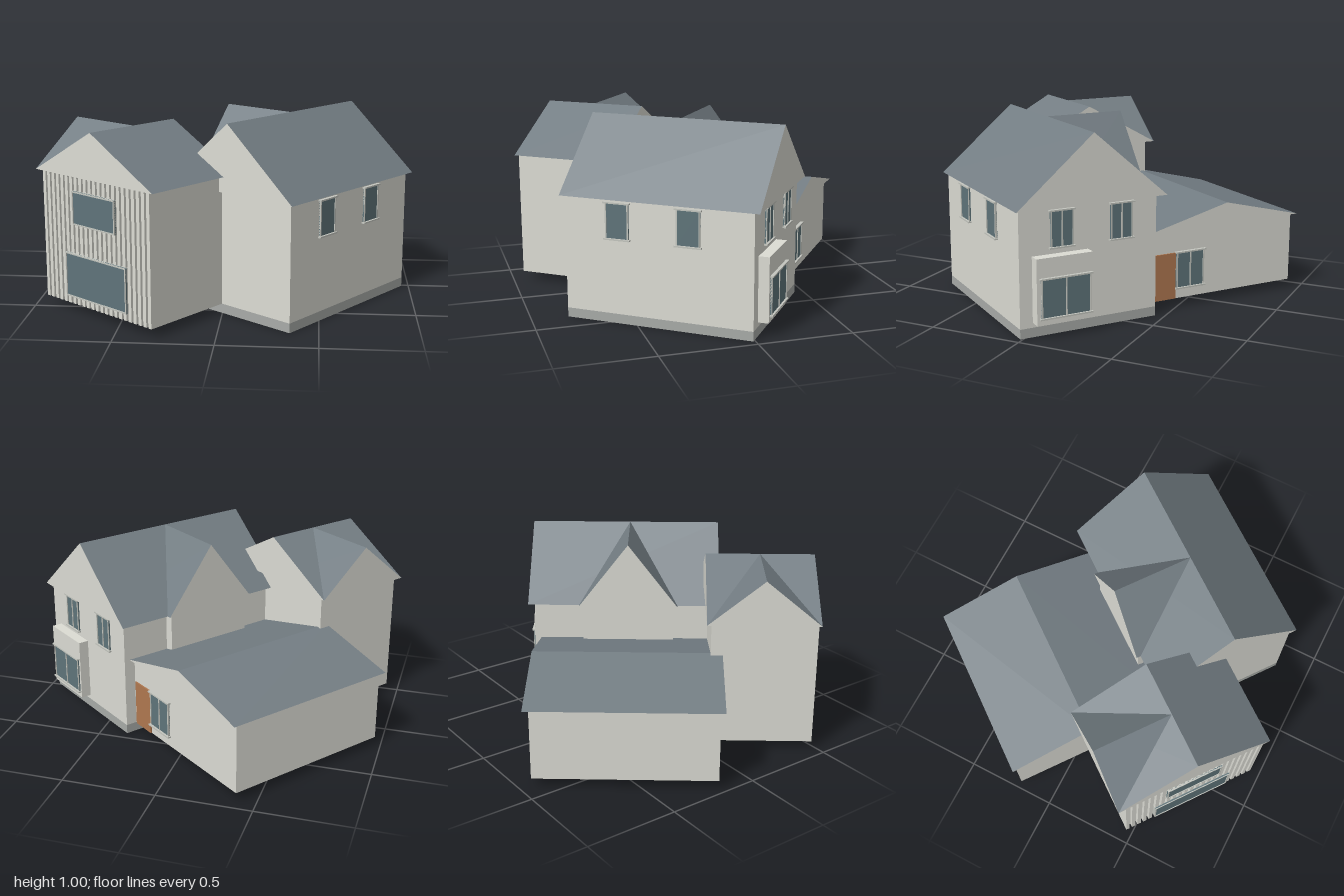
import * as THREE from 'three';

const paint = (color) => new THREE.MeshStandardMaterial({ color, flatShading: true });

export function createModel() {
  const wallMat = paint(0xdcdcd4), roofMat = paint(0x737d83), glassMat = paint(0x5f747a);
  const doorMat = paint(0xb07850), plinthMat = paint(0xa8aba8), trimMat = paint(0xc4c6bf);

  const model = new THREE.Group();
  model.name = 'house';
  // the whole plan is turned about the vertical axis
  const plan = new THREE.Group();
  plan.name = 'plan';
  plan.rotation.y = -0.649;
  model.add(plan);

  // box given by its limits on each axis
  function box(name, mat, x0, x1, y0, y1, z0, z1, parent = plan) {
    const m = new THREE.Mesh(new THREE.BoxGeometry(x1 - x0, y1 - y0, z1 - z0), mat);
    m.position.set((x0 + x1) / 2, (y0 + y1) / 2, (z0 + z1) / 2);
    m.name = name;
    parent.add(m);
    return m;
  }

  // solid gable roof; the ridge runs along z, or along x when alongX is set
  function gableRoof(name, x0, x1, z0, z1, eave, ridge, alongX = false) {
    const half = (alongX ? z1 - z0 : x1 - x0) / 2;
    const length = alongX ? x1 - x0 : z1 - z0;
    const tri = new THREE.Shape([
      new THREE.Vector2(-half, 0), new THREE.Vector2(half, 0), new THREE.Vector2(0, ridge - eave)]);
    const g = new THREE.ExtrudeGeometry(tri, { depth: length, bevelEnabled: false });
    g.translate(0, 0, -length / 2);
    if (alongX) g.rotateY(Math.PI / 2);
    const m = new THREE.Mesh(g, [wallMat, roofMat]);
    m.position.set((x0 + x1) / 2, eave, (z0 + z1) / 2);
    m.name = name;
    plan.add(m);
  }

  // window facing +z before turning: frame bars, panes, head and sill
  function windowUnit(name, x, y, z, w, h, turn, panes, ledges = true) {
    const g = new THREE.Group();
    g.name = name;
    const t = 0.007, d = 0.008;
    box('glass', glassMat, -w / 2, w / 2, -h / 2, h / 2, -0.004, 0.004, g);
    for (const s of [-1, 1]) {
      const ex = s * (w / 2 - t / 2), ey = s * (h / 2 - t / 2);
      box('frameSide', trimMat, ex - t / 2, ex + t / 2, -h / 2, h / 2, -0.004, d, g);
      box('frameRail', trimMat, -w / 2, w / 2, ey - t / 2, ey + t / 2, -0.004, d, g);
      if (ledges) {
        box(s > 0 ? 'head' : 'sill', trimMat, -w / 2 - 0.008, w / 2 + 0.008,
          ey - 0.004, ey + 0.004, -0.004, 0.015, g);
      }
    }
    for (let i = 1; i < panes; i++) {
      const mx = -w / 2 + (w * i) / panes;
      box('mullion', trimMat, mx - t / 2, mx + t / 2, -h / 2, h / 2, -0.004, d, g);
    }
    g.position.set(x, y, z);
    g.rotation.y = turn;
    plan.add(g);
  }

  // main block with plinth, and its cross gable
  box('mainPlinth', plinthMat, 0.01, 0.773, 0, 0.05, -0.572, 0.43);
  box('mainWalls', wallMat, 0.01, 0.773, 0.05, 0.65, -0.572, 0.43);
  gableRoof('mainRoof', -0.037, 0.795, -0.604, 0.452, 0.65, 1.005);
  box('crossGablePlinth', plinthMat, -0.04, 0.02, 0, 0.05, -0.3, 0.2);
  box('crossGableWalls', wallMat, -0.04, 0.02, 0.05, 0.65, -0.3, 0.2);
  gableRoof('crossGableRoof', -0.06, 0.379, -0.322, 0.221, 0.65, 1.005, true);

  // front wing with its own cross gable
  box('wingWalls', wallMat, -0.466, 0.324, 0.05, 0.73, 0.39, 0.92);
  gableRoof('wingRoof', -0.512, 0.355, 0.366, 0.949, 0.73, 0.97);
  gableRoof('wingCrossRoof', -0.512, -0.077, 0.366, 0.949, 0.73, 0.97, true);

  // vertical battens on the wing front
  const battens = 23, pitch = 0.79 / (battens - 0.4);
  for (let i = 0; i < battens; i++) {
    const x = -0.466 + i * pitch;
    box('batten', wallMat, x, x + pitch * 0.6, 0.05, 0.73, 0.918, 0.94);
  }
  const frontPanes = [
    ['wingUpperWindow', -0.23, 0.085, 0.48, 0.655],
    ['wingLowerWindow', -0.295, 0.157, 0.09, 0.325]];
  for (const [name, x0, x1, y0, y1] of frontPanes) {
    box(name + 'Reveal', trimMat, x0, x1, y0, y1, 0.915, 0.941);
    windowUnit(name, (x0 + x1) / 2, (y0 + y1) / 2, 0.943, x1 - x0, y1 - y0, 0, 1, false);
  }

  // low back wing
  box('backWingWalls', wallMat, -0.89, 0.012, 0.05, 0.435, -0.51, 0.43);
  gableRoof('backWingRoof', -0.912, 0.018, -0.54, 0.453, 0.435, 0.55);
  box('door', doorMat, -0.145, -0.005, 0.052, 0.305, -0.518, -0.508);
  windowUnit('backWingWindow', -0.235, 0.207, -0.514, 0.17, 0.205, Math.PI, 2);

  // side windows of the main block
  for (const z of [0.143, -0.235])
    windowUnit('sideWindow', 0.776, 0.54, z, 0.125, 0.195, Math.PI / 2, 1);

  // back gable windows and box bay
  for (const x of [0.544, 0.213])
    windowUnit('gableWindow', x, 0.54, -0.575, 0.125, 0.195, Math.PI, 2);
  box('bay', wallMat, 0.4, 0.705, 0.075, 0.415, -0.628, -0.57);
  windowUnit('bayWindow', 0.549, 0.21, -0.63, 0.27, 0.21, Math.PI, 2);

  return model;
}
